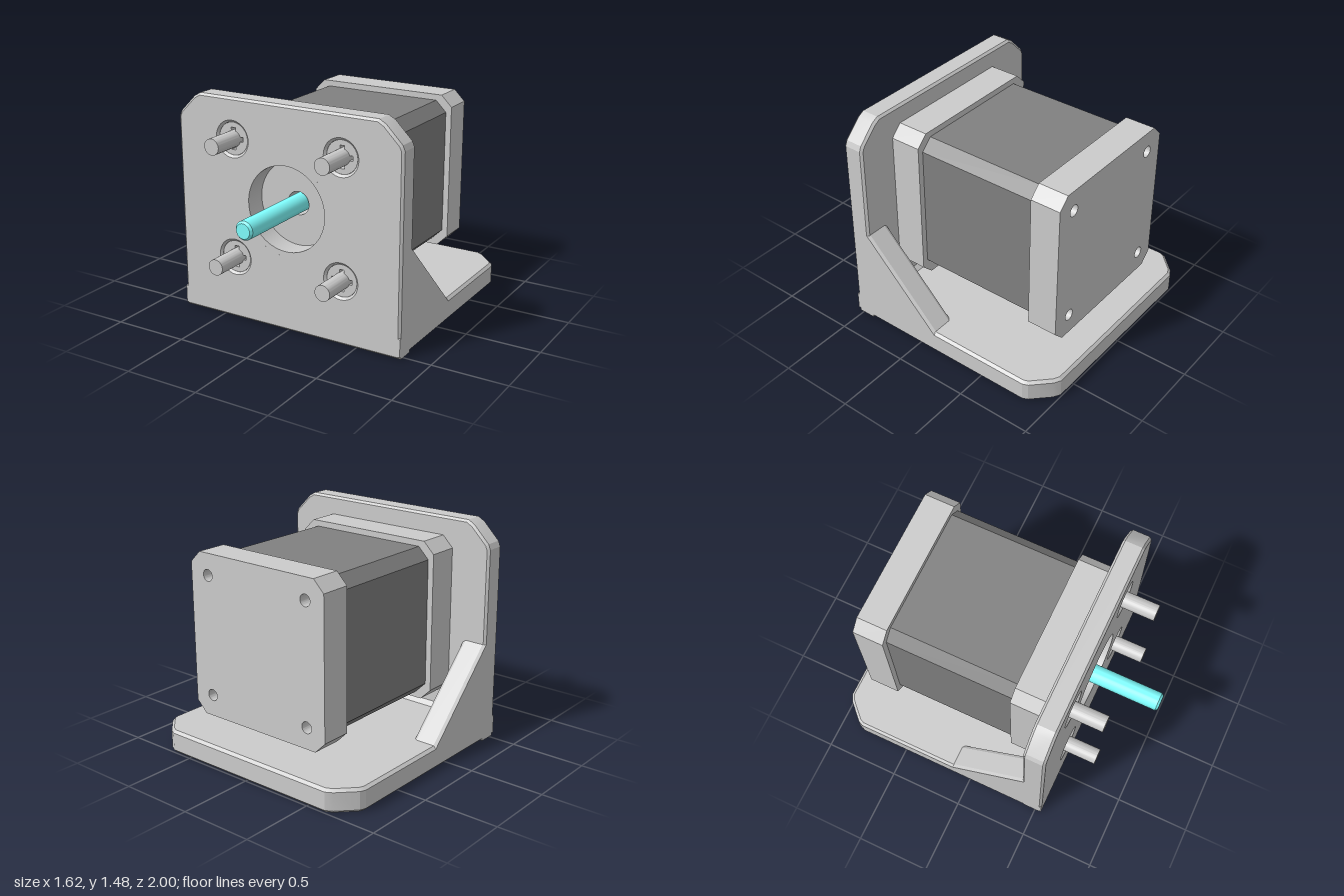
import * as THREE from 'three';
import { toCreasedNormals } from 'three/addons/utils/BufferGeometryUtils.js';

const AXIS_Y = 0.82;   // height of the motor axis
const BOLT = 0.394;    // bolt offset from the axis
const CORNERS = [[1, 1], [-1, 1], [-1, -1], [1, -1]];

const grey = new THREE.MeshStandardMaterial({ color: 0xcccccc });
const dark = new THREE.MeshStandardMaterial({ color: 0x808080 });
const cyan = new THREE.MeshStandardMaterial({ color: 0x80ffff });

function polygon(points) {
  return new THREE.Shape(points.map(([x, y]) => new THREE.Vector2(x, y)));
}

function circle(x, y, r, Type = THREE.Path) {
  return new Type().absarc(x, y, r, 0, Math.PI * 2, false);
}

// Extrudes from z0 to z1; the optional bevel stays inside the outline.
function slab(shape, z0, z1, bevel = 0) {
  const geometry = new THREE.ExtrudeGeometry(shape, {
    depth: z1 - z0 - 2 * bevel,
    bevelEnabled: bevel > 0,
    bevelThickness: bevel,
    bevelSize: bevel,
    bevelOffset: -bevel,
    bevelSegments: 1,
    curveSegments: 32,
  });
  geometry.translate(0, 0, z0 + bevel);
  return toCreasedNormals(geometry, 0.3);
}

// Rectangle with two clipped, slightly softened corners at the far end.
function clippedPanel(near, far) {
  const right = [[0.81, far - 0.17], [0.795, far - 0.135], [0.685, far - 0.025], [0.64, far]];
  const left = right.map(([x, y]) => [-x, y]).reverse();
  return polygon([[-0.81, near], [0.81, near], ...right, ...left]);
}

// Square with chamfered corners, centred on the origin.
function chamferedSquare(h, c) {
  return polygon([
    [h, c - h], [h, h - c], [h - c, h], [c - h, h],
    [-h, h - c], [-h, c - h], [c - h, -h], [h - c, -h],
  ]);
}

export function createModel() {
  const model = new THREE.Group();
  const add = (parent, name, geometry, material = grey) => {
    const mesh = new THREE.Mesh(geometry, material);
    mesh.name = name;
    parent.add(mesh);
    return mesh;
  };

  // Mounting bracket
  const bracket = new THREE.Group();
  bracket.name = 'bracket';
  model.add(bracket);

  const plate = clippedPanel(0, 1.48);
  plate.holes.push(circle(0, AXIS_Y, 0.3));
  for (const [sx, sy] of CORNERS) {
    plate.holes.push(circle(sx * BOLT, AXIS_Y + sy * BOLT, 0.107));
  }
  add(bracket, 'frontPlate', slab(plate, 0.4, 0.545, 0.015));

  // Sharp-edged lining of the central opening
  const lining = circle(0, AXIS_Y, 0.315, THREE.Shape);
  lining.holes.push(circle(0, AXIS_Y, 0.28));
  add(bracket, 'openingRim', slab(lining, 0.4, 0.545));

  const base = slab(clippedPanel(-0.545, 1), 0, 0.155, 0.018);
  base.rotateX(-Math.PI / 2);
  add(bracket, 'basePlate', base);

  // Side gussets: triangles drawn in (z, y), extruded along x
  const triangle = polygon([[-0.5, 0.05], [0.23, 0.05], [-0.5, 0.78]]);
  for (const [name, x0] of [['leftGusset', 0.64], ['rightGusset', -0.81]]) {
    const gusset = slab(triangle, x0, x0 + 0.17, 0.02);
    gusset.rotateY(Math.PI / 2);
    // shape x now runs along -z, extrusion along +x
    add(bracket, name, gusset);
  }

  // Small chamfer in the inner corner between plate and base
  const fillet = slab(polygon([[-0.42, 0.14], [-0.355, 0.14], [-0.42, 0.205]]), -0.65, 0.65);
  fillet.rotateY(Math.PI / 2);
  add(bracket, 'innerFillet', fillet);

  // Motor
  const motor = new THREE.Group();
  motor.name = 'motor';
  motor.position.y = AXIS_Y;
  model.add(motor);

  add(motor, 'motorBody', slab(chamferedSquare(0.495, 0.075), -0.665, 0.19), dark);

  const frontCap = chamferedSquare(0.535, 0.075);
  frontCap.holes.push(circle(0, 0, 0.077));
  add(motor, 'frontCap', slab(frontCap, 0.19, 0.4));

  const backCap = chamferedSquare(0.535, 0.075);
  for (const [sx, sy] of CORNERS) backCap.holes.push(circle(sx * BOLT, sy * BOLT, 0.038));
  add(motor, 'backCap', slab(backCap, -0.87, -0.665));

  // Shaft with a chamfered tip
  const shaft = new THREE.LatheGeometry(
    [[0, 0.15], [0.061, 0.15], [0.061, 0.985], [0.048, 1], [0, 1]].map(([r, y]) => new THREE.Vector2(r, y)), 40);
  shaft.rotateX(Math.PI / 2);
  add(motor, 'shaft', toCreasedNormals(shaft, 0.5), cyan);

  // Screws: slotted head sunk in the plate, with a pin standing out of it
  const a = 0.016, b = 0.072;
  const cross = polygon([
    [b, -a], [b, a], [a, a], [a, b], [-a, b], [-a, a],
    [-b, a], [-b, -a], [-a, -a], [-a, -b], [a, -b], [a, -a],
  ]);
  const headFace = circle(0, 0, 0.106, THREE.Shape);
  headFace.holes.push(cross);
  const faceGeometry = slab(headFace, 0.48, 0.53);
  const headGeometry = slab(circle(0, 0, 0.106, THREE.Shape), 0.401, 0.48);
  const pinGeometry = slab(circle(0, 0, 0.053, THREE.Shape), 0.48, 0.76);
  for (const [sx, sy] of CORNERS) {
    const screw = new THREE.Group();
    screw.name = 'screw';
    screw.position.set(sx * BOLT, sy * BOLT, 0);
    add(screw, 'screwHead', headGeometry);
    add(screw, 'slottedFace', faceGeometry);
    add(screw, 'screwPin', pinGeometry);
    motor.add(screw);
  }

  return model;
}
